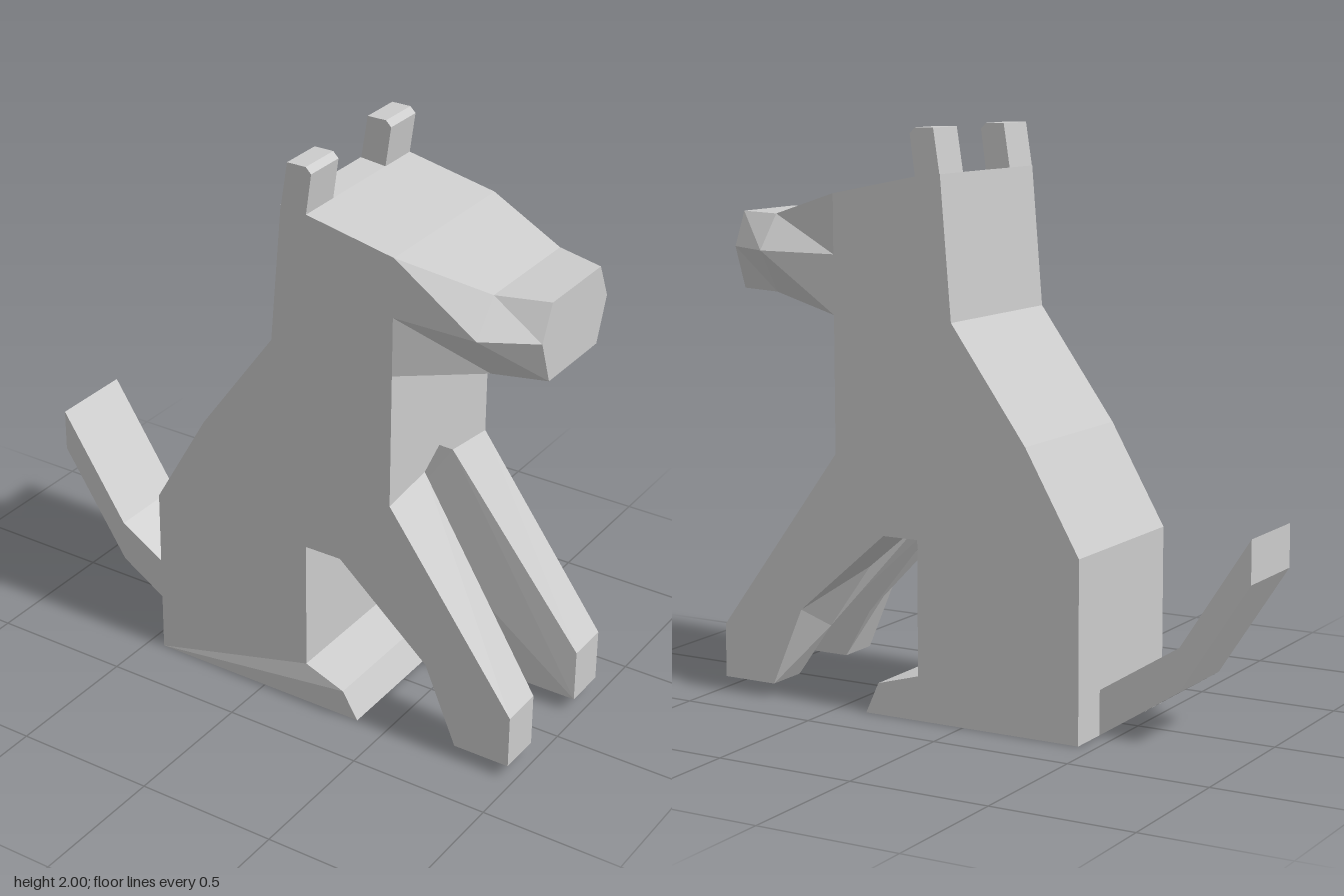
import * as THREE from 'three';

const LEFT = 0.3, RIGHT = -0.315, MID = -0.0075;
const material = new THREE.MeshStandardMaterial({ color: 0xcccccc, flatShading: true });

function mesh(name, geometry) {
  geometry.computeVertexNormals();
  const m = new THREE.Mesh(geometry, material);
  m.name = name;
  return m;
}

// Side profile extruded across the width, from z0 to z1
function slab(points, z0, z1) {
  const shape = new THREE.Shape(points.map(([x, y]) => new THREE.Vector2(x, y)));
  const g = new THREE.ExtrudeGeometry(shape, { depth: z1 - z0, bevelEnabled: false });
  return g.translate(0, 0, z0);
}

// Sitting body, neck and back of the head
function body() {
  const g = slab([
    [-0.44, 0], [0.385, 0], [0.335, 0.11], [0.175, 0.155], [0.175, 0.625],
    [0.31, 0.625], [0.31, 0.68], [0.5, 0.975], [0.5, 1.775], [0.175, 1.84],
    [0.08, 1.85], [0.04, 1.365], [-0.24, 0.975], [-0.44, 0.625],
  ], RIGHT, LEFT);
  // one toe corner bulges slightly
  const p = g.attributes.position;
  for (let i = 0; i < p.count; i++) {
    if (Math.abs(p.getX(i) - 0.335) < 1e-3 && Math.abs(p.getY(i) - 0.11) < 1e-3 && p.getZ(i) > 0) p.setZ(i, 0.315);
  }
  return mesh('body', g);
}

// Front leg: flat outside, inside face leaning outward toward the paw
function frontLeg(side) {
  // outer x, outer y, inner y, inner distance from the middle
  const rows = [
    [0.31, 0.625, 0.625, 0.075], [0.5, 0.46, 0.46, 0.1], [0.65, 0.33, 0.235, 0.125],
    [0.77, 0.05, 0.05, 0.15], [0.975, 0.05, 0.05, 0.15], [0.975, 0.24, 0.24, 0.15],
    [0.5, 0.89, 0.915, 0.09], [0.5, 0.975, 0.975, 0], [0.31, 0.68, 0.68, 0.07],
  ];
  const g = slab(rows, 0, 1);
  const p = g.attributes.position;
  for (let i = 0; i < p.count; i++) {
    const x = p.getX(i), y = p.getY(i);
    const row = rows.find((r) => Math.hypot(r[0] - x, r[1] - y) < 1e-3);
    const outer = (p.getZ(i) > 0.5) === (side > 0);
    if (outer) p.setZ(i, side > 0 ? LEFT : RIGHT);
    else p.setXYZ(i, x, row[2], MID + side * row[3]);
  }
  return mesh(side > 0 ? 'leftFrontLeg' : 'rightFrontLeg', g);
}

// Muzzle: six-sided sections narrowing to the nose
function muzzle() {
  // x, top y, bottom y, half widths at top, middle and bottom
  const rings = [
    [0.5, 1.775, 1.365, 0.3075, 0.3075, 0.3075],
    [0.8, 1.69, 1.42, 0.21, 0.3075, 0.21],
    [0.975, 1.69, 1.42, 0.155, 0.21, 0.155],
  ].map(([x, top, bottom, wt, wm, wb]) => [
    [x, top, MID + wt], [x, 1.57, MID + wm], [x, bottom, MID + wb],
    [x, bottom, MID - wb], [x, 1.57, MID - wm], [x, top, MID - wt],
  ]);
  const v = [];
  for (let r = 0; r < 2; r++) {
    const a = rings[r], b = rings[r + 1];
    for (let i = 0; i < 6; i++) {
      const j = (i + 1) % 6;
      v.push(...a[i], ...a[j], ...b[j], ...a[i], ...b[j], ...b[i]);
    }
  }
  const end = rings[2];
  for (let i = 1; i < 5; i++) v.push(...end[0], ...end[i], ...end[i + 1]);
  const g = new THREE.BufferGeometry();
  g.setAttribute('position', new THREE.Float32BufferAttribute(v, 3));
  return mesh('muzzle', g);
}

export function createModel() {
  const model = new THREE.Group();
  model.name = 'sittingDog';
  model.add(body(), muzzle(), frontLeg(1), frontLeg(-1));

  // Ears
  const ear = [[0.08, 1.84], [0.175, 1.835], [0.195, 1.98], [0.175, 2], [0.105, 2]];
  model.add(mesh('leftEar', slab(ear, 0.145, LEFT)));
  model.add(mesh('rightEar', slab(ear, RIGHT, -0.165)));

  // Bent tail
  model.add(mesh('tail', slab([
    [-0.44, 0], [-0.44, 0.155], [-0.73, 0.335], [-0.98, 0.72], [-0.98, 0.57], [-0.73, 0.185],
  ], -0.165, 0.14)));
  return model;
}
